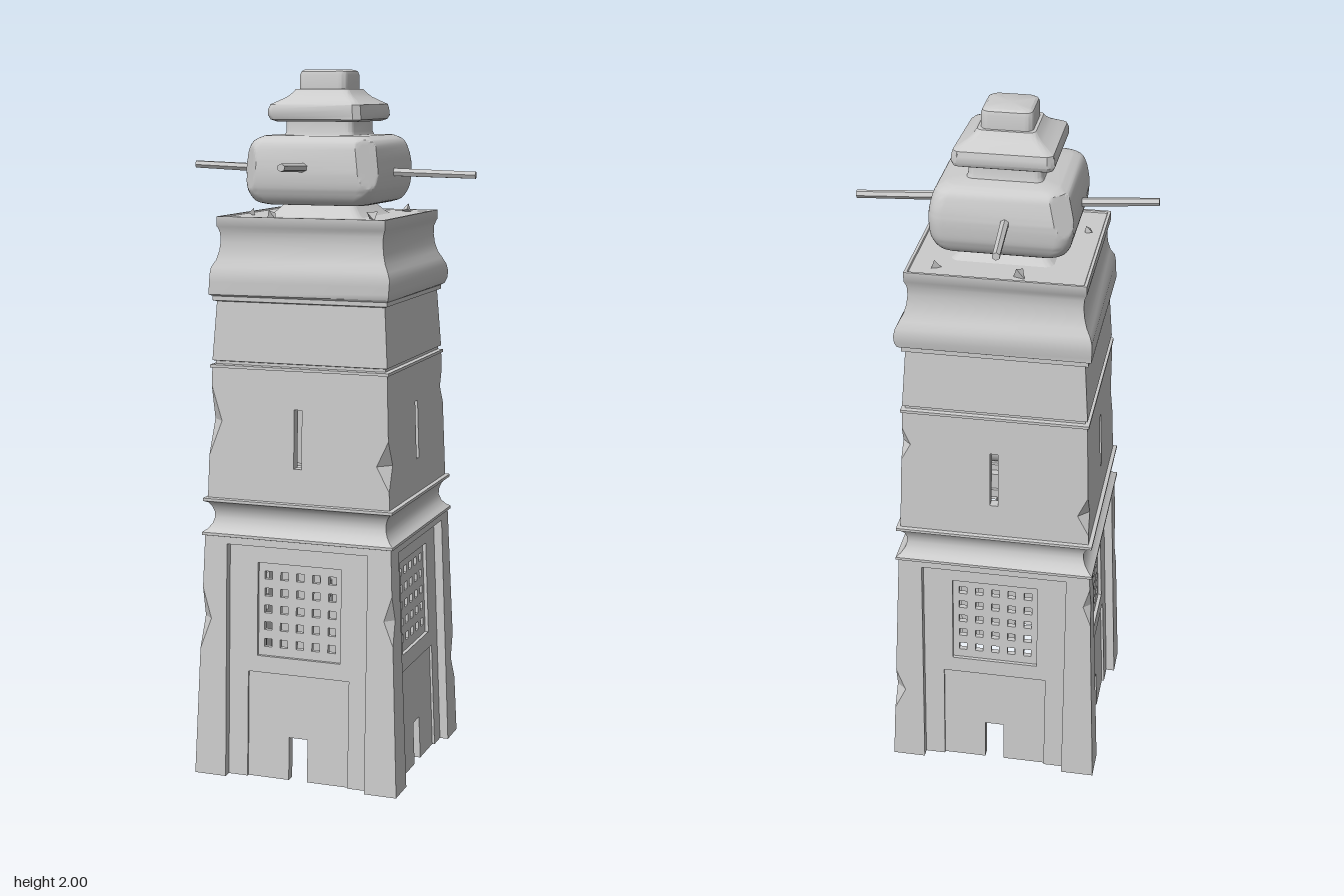
import * as THREE from 'three';
import { toCreasedNormals } from 'three/addons/utils/BufferGeometryUtils.js';

const material = new THREE.MeshStandardMaterial({ color: 0xcccccc, side: THREE.DoubleSide });
const v2 = (p) => new THREE.Vector2(p[0], p[1]);

function addMesh(parent, name, geometry) {
  const mesh = new THREE.Mesh(geometry, material);
  mesh.name = name;
  parent.add(mesh);
  return mesh;
}

function geometryFrom(positions, index) {
  const geo = new THREE.BufferGeometry();
  geo.setAttribute('position', new THREE.Float32BufferAttribute(positions, 3));
  if (index) geo.setIndex(index);
  return geo;
}

// Stacks rounded squares along a profile of [half width, height];
// chips are planes [direction, distance, centre height] that shave off material.
function squareLoft(profile, radius = 0, crease = 0.6, chips = []) {
  const arc = radius > 0 ? 8 : 0, pos = [], index = [];
  const n = 4 * (arc + 1);
  for (const [h, y] of profile) {
    const r = Math.min(radius, h);
    for (let k = 0; k < 4; k++) for (let j = 0; j <= arc; j++) {
      const mid = (k + 0.5) * Math.PI / 2;
      const a = (k + (arc ? j / arc : 0.5)) * Math.PI / 2;
      const p = new THREE.Vector3(
        Math.sign(Math.cos(mid)) * (h - r) + r * Math.cos(a), y,
        -Math.sign(Math.sin(mid)) * (h - r) - r * Math.sin(a));
      for (const [dir, dist, cy] of chips) {
        const d = new THREE.Vector3(...dir).normalize();
        const over = p.dot(d) - cy * d.y - dist;
        if (over > 0) p.addScaledVector(d, -over);
      }
      pos.push(p.x, p.y, p.z);
    }
  }
  for (let i = 0; i < profile.length - 1; i++) for (let j = 0; j < n; j++) {
    const a = i * n + j, b = i * n + (j + 1) % n;
    index.push(a, b, b + n, a, b + n, a + n);
  }
  return toCreasedNormals(geometryFrom(pos, index), crease);
}

// Outline helpers, all counterclockwise
const rect = (x, y, w, h) => [[x - w, y - h], [x + w, y - h], [x + w, y + h], [x - w, y + h]];
const doorway = (w, top) => [[w, 0], [w, top], [-w, top], [-w, 0]];
const panelAround = (w, top, opening) =>
  [[-w, 0], ...[...opening].reverse(), [w, 0], [w, top], [-w, top]];

// A thin leaning sheet with holes, lying at a depth behind the wall line
function sheet(parent, name, half, outline, holes, depth) {
  const shape = new THREE.Shape(outline.map(v2));
  for (const h of holes) shape.holes.push(new THREE.Path(h.map(v2)));
  const geo = new THREE.ShapeGeometry(shape).toNonIndexed();
  const p = geo.attributes.position;
  for (let i = 0; i < p.count; i++) p.setZ(i, half(p.getY(i)) - depth);
  geo.computeVertexNormals();
  addMesh(parent, name, geo);
}

// The sides of openings, running from one depth to another
function reveals(parent, name, half, paths, d0, d1, closed = true) {
  const pos = [];
  for (const path of paths) {
    const count = closed ? path.length : path.length - 1;
    for (let i = 0; i < count; i++) {
      const a = path[i], b = path[(i + 1) % path.length];
      const at = ([x, y], d) => [x, y, half(y) - d];
      pos.push(...at(a, d0), ...at(b, d0), ...at(b, d1), ...at(a, d0), ...at(b, d1), ...at(a, d1));
    }
  }
  const geo = geometryFrom(pos);
  geo.computeVertexNormals();
  addMesh(parent, name, geo);
}

// Knocked-off edges: [corner, height, half length, depth]
const lowerChips = [[0, 0.5, 0.07, 0.025], [1, 0.24, 0.07, 0.03], [2, 0.6, 0.06, 0.02], [3, 0.46, 0.09, 0.03]];
const middleChips = [[0, 0.93, 0.07, 0.035], [1, 1.08, 0.05, 0.025], [2, 0.9, 0.06, 0.03], [3, 1.03, 0.1, 0.035]];

// Points up one wall edge, including the notches
function edge(half, y0, y1, chips, corner, side) {
  const pts = [[side * half(y0), y0]];
  for (const [c, y, h, d] of chips) if (c === corner) {
    pts.push([side * half(y - h), y - h], [side * (half(y) - d), y], [side * half(y + h), y + h]);
  }
  pts.push([side * half(y1), y1]);
  return pts;
}

function chipFill(parent, half, chips, corner) {
  for (const [c, y, h, d] of chips) if (c === corner) {
    const w = half(y), lo = half(y - h), hi = half(y + h);
    const low = [lo, y - h, lo], high = [hi, y + h, hi], p = [w - d, y, w], q = [w, y, w - d];
    const geo = geometryFrom([...low, ...q, ...p, ...p, ...q, ...high]);
    geo.computeVertexNormals();
    addMesh(parent, 'chippedEdge', geo);
  }
}

function buildSide(i) {
  const side = new THREE.Group();
  side.name = 'towerSide';
  side.rotation.y = i * Math.PI / 2;
  const left = (i + 3) % 4;

  // Lower storey: corner piers, recessed wall, door panel and grille
  const lower = (y) => 0.305 - 0.04 * y;
  const bay = doorway(0.21, 0.68), doorPanel = doorway(0.152, 0.31), door = doorway(0.028, 0.125);
  const grille = rect(0, 0.493, 0.125, 0.135);
  const holes = [];
  for (let r = -2; r <= 2; r++) for (let c = -2; c <= 2; c++) {
    holes.push(rect(c * 0.048, 0.493 + r * 0.049, 0.0115, 0.0115));
  }
  const frame = [...[...bay].reverse(), ...edge(lower, 0, 0.7, lowerChips, i, 1),
    ...edge(lower, 0, 0.7, lowerChips, left, -1).reverse()];
  sheet(side, 'cornerPiers', lower, frame, [], 0);
  reveals(side, 'bayEdge', lower, [bay], 0, 0.025, false);
  sheet(side, 'recessedWall', lower, panelAround(0.21, 0.68, doorPanel), [grille], 0.025);
  reveals(side, 'doorPanelEdge', lower, [doorPanel], 0.025, 0.032, false);
  sheet(side, 'doorPanel', lower, panelAround(0.152, 0.31, door), [], 0.032);
  reveals(side, 'doorJambs', lower, [door], 0.032, 0.06, false);
  reveals(side, 'grilleEdge', lower, [grille], 0.025, 0.035);
  sheet(side, 'grille', lower, grille, holes, 0.035);
  reveals(side, 'grilleHoles', lower, holes, 0.035, 0.05);
  chipFill(side, lower, lowerChips, i);

  // Middle storey with a narrow slit window
  const middle = (y) => 0.27 - 0.034 * (y - 0.81);
  const slit = rect(0, 0.99, 0.0115, 0.083);
  const wall = [...edge(middle, 0.81, 1.18, middleChips, i, 1),
    ...edge(middle, 0.81, 1.18, middleChips, left, -1).reverse()];
  sheet(side, 'middleWall', middle, wall, [slit], 0);
  reveals(side, 'slitWindow', middle, [slit], 0, 0.03);
  chipFill(side, middle, middleChips, i);
  return side;
}

function pole(parent, from, to) {
  const a = new THREE.Vector3(...from), b = new THREE.Vector3(...to);
  const mesh = addMesh(parent, 'pole',
    new THREE.CylinderGeometry(0.011, 0.013, a.distanceTo(b), 6).toNonIndexed());
  mesh.geometry.computeVertexNormals();
  mesh.position.copy(a).lerp(b, 0.5);
  mesh.quaternion.setFromUnitVectors(new THREE.Vector3(0, 1, 0), b.sub(a).normalize());
}

export function createModel() {
  const tower = new THREE.Group();
  tower.name = 'tower';
  for (let i = 0; i < 4; i++) tower.add(buildSide(i));

  // Hollow moulding between the lower storeys
  addMesh(tower, 'coveMoulding', squareLoft([[0.277, 0.7], [0.284, 0.702], [0.284, 0.71], [0.272, 0.718],
    [0.261, 0.732], [0.255, 0.75], [0.255, 0.765], [0.261, 0.782], [0.27, 0.795], [0.281, 0.8],
    [0.281, 0.808], [0.27, 0.81]]));

  // Upper storey
  addMesh(tower, 'upperWall', squareLoft([[0.257, 1.18], [0.262, 1.18], [0.262, 1.188], [0.25, 1.19],
    [0.25, 1.198], [0.257, 1.2], [0.246, 1.365], [0.255, 1.368], [0.255, 1.38]]));

  // Swelling cornice and flat deck
  addMesh(tower, 'cornice', squareLoft([[0.255, 1.38], [0.264, 1.385], [0.27, 1.4], [0.272, 1.42], [0.268, 1.44],
    [0.258, 1.46], [0.247, 1.48], [0.24, 1.505], [0.237, 1.53], [0.238, 1.555], [0.243, 1.57],
    [0.245, 1.573], [0.245, 1.6], [0.237, 1.6], [0.235, 1.596], [0.13, 1.596]], 0, 0.6,
  [[[1, -0.2, 1], 0.368, 1.42], [[-1, 0.1, 1], 0.37, 1.42], [[-1, 0, -1], 0.374, 1.42]]));

  // Roof pieces
  addMesh(tower, 'neck', squareLoft([[0.14, 1.596], [0.13, 1.603], [0.105, 1.63], [0.105, 1.645]], 0.025));
  const bulb = new THREE.SplineCurve([[0.148, 1.63], [0.172, 1.64], [0.188, 1.67], [0.193, 1.705], [0.193, 1.74],
    [0.187, 1.775], [0.175, 1.805], [0.15, 1.82]].map(v2)).getPoints(28).map((p) => [p.x, p.y]);
  addMesh(tower, 'bulb', squareLoft([[0.0, 1.63], ...bulb, [0.0, 1.82]], 0.045, 0.5,
    [[[-1, 0.5, -1], 0.234, 1.72], [[1, 0.3, 1], 0.236, 1.72], [[-1, 0.1, 1], 0.243, 1.72]]));
  addMesh(tower, 'upperNeck', squareLoft([[0.105, 1.815], [0.099, 1.83], [0.099, 1.865]], 0.02));
  addMesh(tower, 'upperRoof', squareLoft([[0, 1.858], [0.12, 1.858], [0.133, 1.864], [0.138, 1.875], [0.138, 1.892],
    [0.133, 1.905], [0.115, 1.915], [0.098, 1.925], [0.086, 1.936], [0.078, 1.947], [0.0, 1.95]], 0.018, 0.6,
  [[[1, 0.2, 1], 0.168, 1.885], [[1, 0.3, -1], 0.178, 1.885], [[-1, 0.3, -1], 0.178, 1.885]]));
  addMesh(tower, 'cap', squareLoft([[0.07, 1.94], [0.07, 1.985], [0.067, 1.995], [0.06, 2], [0, 2]], 0.022));

  // Four slightly crooked poles
  pole(tower, [0.12, 1.72, 0.008], [0.424, 1.712, -0.013]);
  pole(tower, [-0.12, 1.722, 0.004], [-0.4, 1.734, 0.027]);
  pole(tower, [-0.015, 1.732, 0.12], [0.007, 1.742, 0.4]);
  pole(tower, [-0.012, 1.735, -0.12], [-0.033, 1.742, -0.4]);

  // Loose rubble on the deck
  for (const [x, z, s] of [[-0.06, -0.21, 0.022], [-0.095, 0.21, 0.018], [0.18, 0.16, 0.02],
    [0.17, -0.19, 0.018], [-0.2, 0.1, 0.015]]) {
    const stone = addMesh(tower, 'rubble', new THREE.TetrahedronGeometry(s));
    stone.position.set(x, 1.596 + s * 0.45, z);
    stone.rotation.set(x * 20, z * 30, 0.4);
  }

  tower.position.x = -0.013;
  const model = new THREE.Group();
  model.add(tower);
  return model;
}
